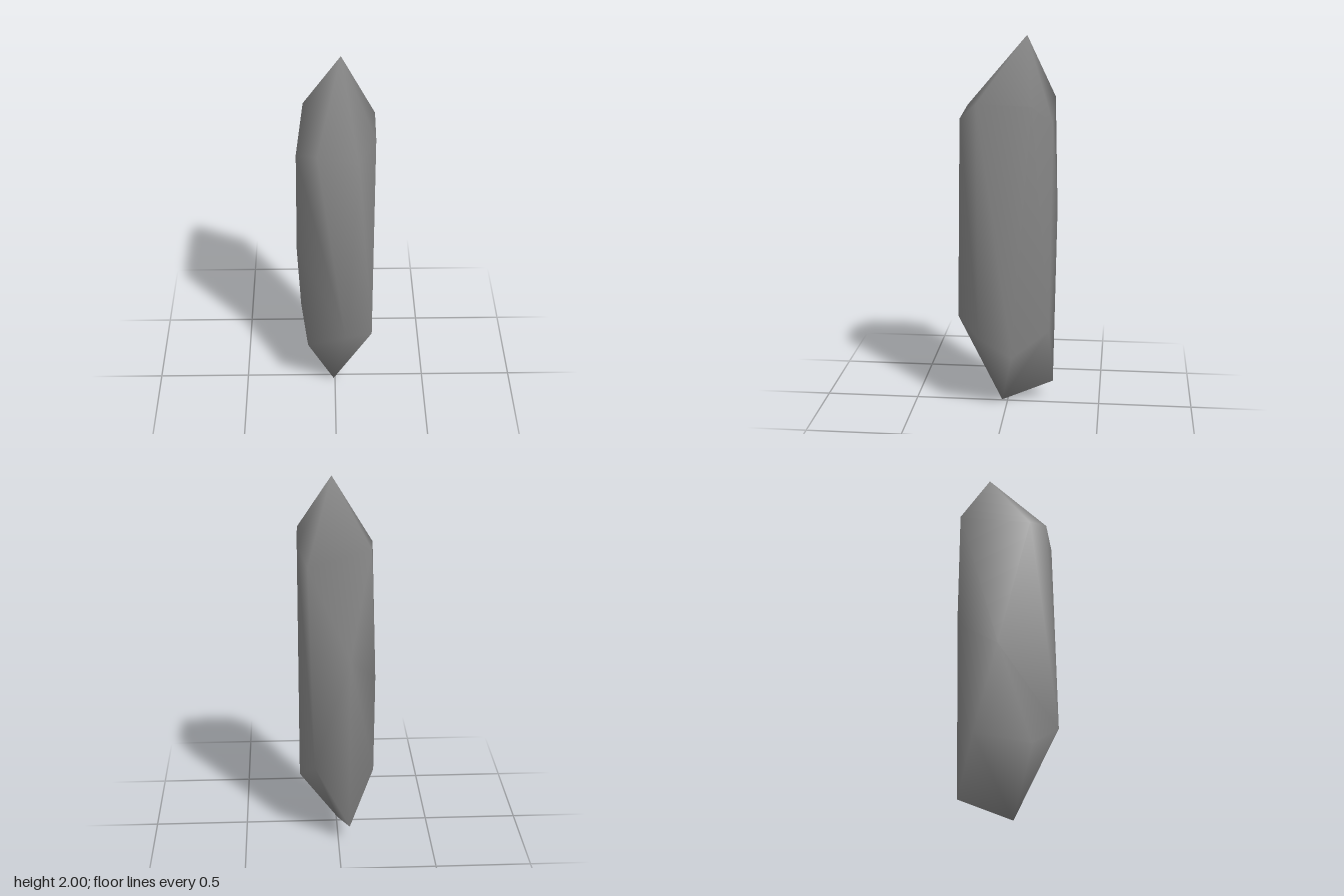
import * as THREE from 'three';

// Named corners: upper ring u0..u6 and lower ring l0..l6 run counter-clockwise
// seen from above, starting at the front -x corner.
const upper = [
  [-0.195, 1.585, 0.14], [-0.09, 1.62, 0.22], [0.115, 1.58, 0.235], [0.2, 1.67, 0.14],
  [0.205, 1.66, -0.14], [0.155, 1.57, -0.245], [-0.163, 1.66, -0.24],
];
const lower = [
  [-0.15, 0.35, 0.14], [0.055, 0.5, 0.26], [0.2, 0.425, 0.135], [0.203, 0.32, -0.04],
  [0.125, 0.455, -0.233], [-0.06, 0.1, -0.245], [-0.19, 0.4, -0.155],
];
const corners = {
  top: [0.03, 2, -0.103],
  bottom: [-0.008, 0, 0.03],
  sideNotch: [-0.205, 0.88, -0.03],
  backNotch: [-0.06, 1.07, -0.261],
};
upper.forEach((p, i) => { corners['u' + i] = p; });
lower.forEach((p, i) => { corners['l' + i] = p; });

// Long facets of the shaft, with two chipped valleys
const shaft = [
  'u0 sideNotch l1', 'sideNotch l0 l1', 'u0 l1 u1', 'u1 l1 u2', 'u2 l1 l2', 'u2 l2 u3',
  'u3 l2 l3', 'u3 l3 u4', 'u4 l3 l4', 'u4 l4 u5', 'u5 l4 backNotch', 'u5 backNotch u6',
  'backNotch l4 l5', 'backNotch l5 l6', 'u6 backNotch sideNotch', 'backNotch l6 sideNotch',
  'sideNotch l6 l0', 'u6 sideNotch u0',
];

export function createModel() {
  const group = new THREE.Group();
  const names = Object.keys(corners);
  const faces = shaft.map((f) => f.split(' '));

  // Pointed ends
  for (let i = 0; i < 7; i++) {
    const j = (i + 1) % 7;
    faces.push(['top', 'u' + i, 'u' + j], ['bottom', 'l' + j, 'l' + i]);
  }

  const geometry = new THREE.BufferGeometry();
  geometry.setAttribute('position', new THREE.Float32BufferAttribute(names.flatMap((n) => corners[n]), 3));
  geometry.setIndex(faces.flat().map((n) => names.indexOf(n)));
  geometry.computeVertexNormals();

  // Dark grey stone
  const crystal = new THREE.Mesh(geometry, new THREE.MeshStandardMaterial({ color: 0x888888 }));
  crystal.name = 'crystal';
  group.add(crystal);
  return group;
}
